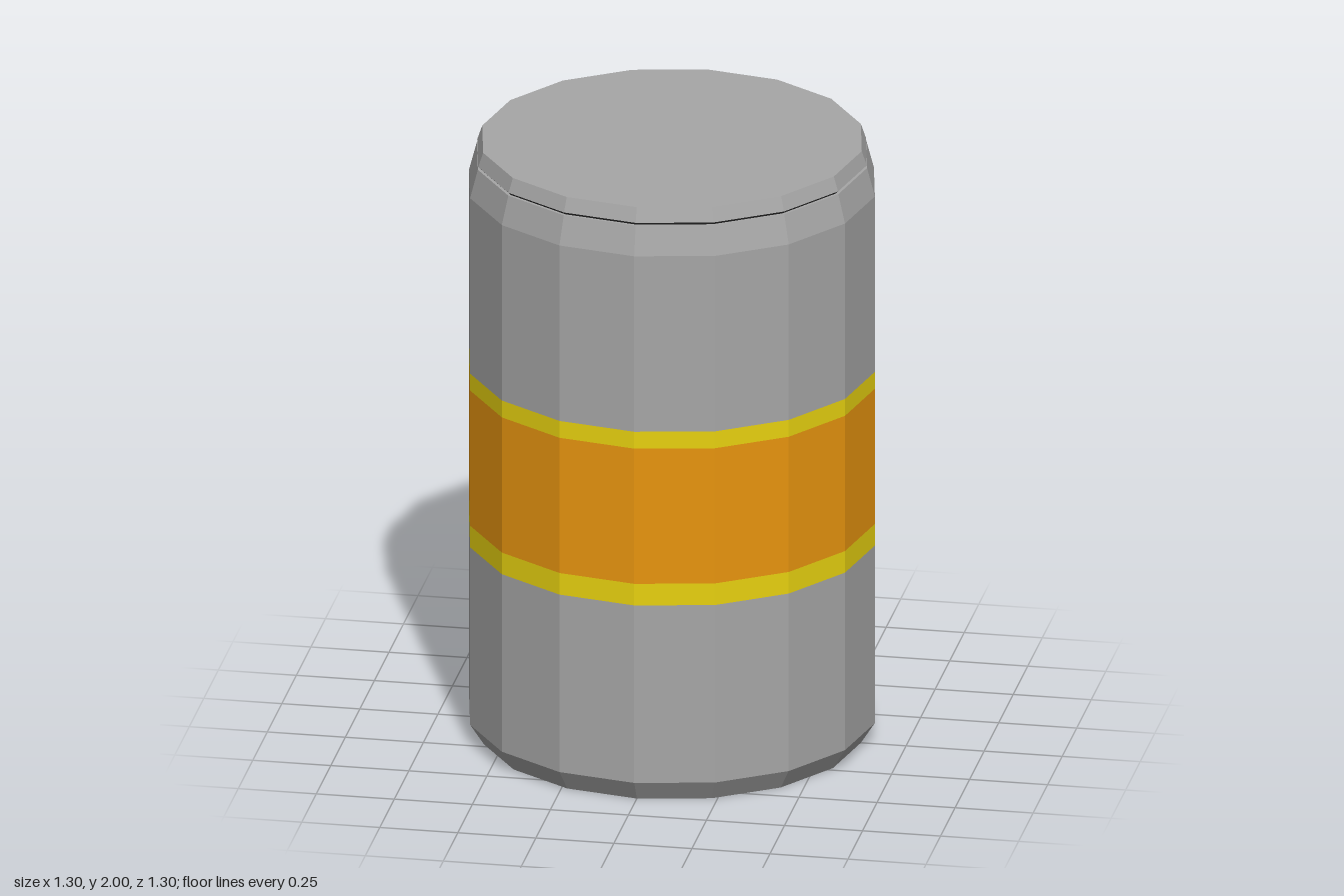
import * as THREE from 'three';

const SIDES = 16;

// Faceted ring turned from a bottom-to-top profile of [radius, y] points
function turned(name, material, profile) {
  const points = profile.map(([r, y]) => new THREE.Vector2(r, y));
  const geometry = new THREE.LatheGeometry(points, SIDES).toNonIndexed();
  geometry.computeVertexNormals();
  const mesh = new THREE.Mesh(geometry, material);
  mesh.name = name;
  return mesh;
}

export function createModel() {
  const paint = (name, color) => {
    const material = new THREE.MeshStandardMaterial({ color });
    material.name = name;
    return material;
  };
  const metal = paint('grey metal', 0xa6a6a6);
  const orange = paint('orange band', 0xe8950f);
  const yellow = paint('yellow stripe', 0xe8d210);
  const dark = paint('dark seam', 0x1c1c1c);
  const R = 0.65;

  const can = new THREE.Group();
  can.name = 'canister';
  can.add(
    // Closed base with a chamfered foot
    turned('lowerBody', metal, [[0, 0], [0.605, 0], [R, 0.07], [R, 0.67]]),
    // Painted bands, flush with the wall
    turned('lowerStripe', yellow, [[R, 0.67], [R, 0.743]]),
    turned('middleBand', orange, [[R, 0.743], [R, 1.2]]),
    turned('upperStripe', yellow, [[R, 1.2], [R, 1.257]]),
    // Upper wall tapering to the shoulder
    turned('upperBody', metal, [[R, 1.257], [R, 1.85], [0.625, 1.944], [0.615, 1.944]]),
    // Narrow seam under the lid
    turned('lidSeam', dark, [[0.615, 1.944], [0.615, 1.953]]),
    turned('lid', metal, [[0.615, 1.953], [0.624, 1.953], [0.608, 2], [0, 2]]),
  );
  return can;
}
